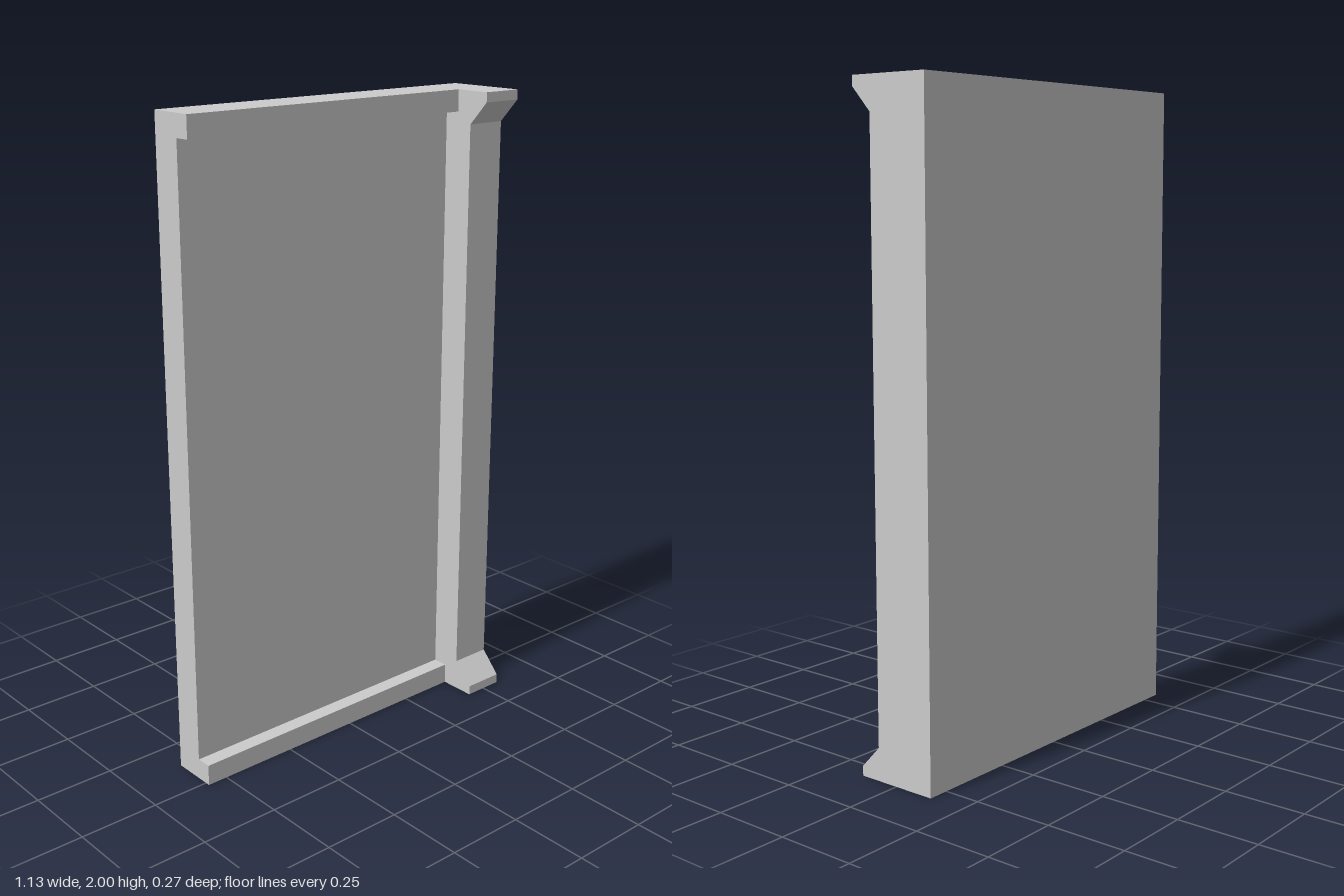
import * as THREE from 'three';

const HALF_WIDTH = 0.566, POST_X = 0.433, HEIGHT = 2;
const BACK = -0.133, PANEL_FRONT = -0.034, RAIL_FRONT = 0.015, POST_FRONT = 0.068, FOOT_FRONT = 0.133;
const RAIL_HEIGHT = 0.066;

// Extrudes a side profile along x; frontEdge lists the lower half of the
// front outline as [z, y], which is mirrored to make the upper half.
function profileMesh(name, frontEdge, x0, x1, material) {
  const upper = frontEdge.map(([z, y]) => [z, HEIGHT - y]).reverse();
  const points = [[BACK, 0], ...frontEdge, ...upper, [BACK, HEIGHT]];
  const shape = new THREE.Shape(points.map(([z, y]) => new THREE.Vector2(z, y)));
  const geometry = new THREE.ExtrudeGeometry(shape, { depth: x1 - x0, bevelEnabled: false });
  geometry.rotateY(-Math.PI / 2).translate(x1, 0, 0);
  const mesh = new THREE.Mesh(geometry, material);
  mesh.name = name;
  return mesh;
}

export function createModel() {
  const group = new THREE.Group();
  group.name = 'wallPanel';
  const material = new THREE.MeshStandardMaterial({ color: 0xcccccc, flatShading: true });

  // Recessed panel with a rail along the top and bottom
  group.add(profileMesh('panelWithRails', [
    [RAIL_FRONT, 0], [RAIL_FRONT, RAIL_HEIGHT], [PANEL_FRONT, RAIL_HEIGHT],
  ], -HALF_WIDTH, POST_X, material));

  // Side post with chamfered feet projecting at both ends
  group.add(profileMesh('post', [
    [FOOT_FRONT, 0], [FOOT_FRONT, 0.03], [POST_FRONT, 0.1],
  ], POST_X, HALF_WIDTH, material));

  return group;
}
